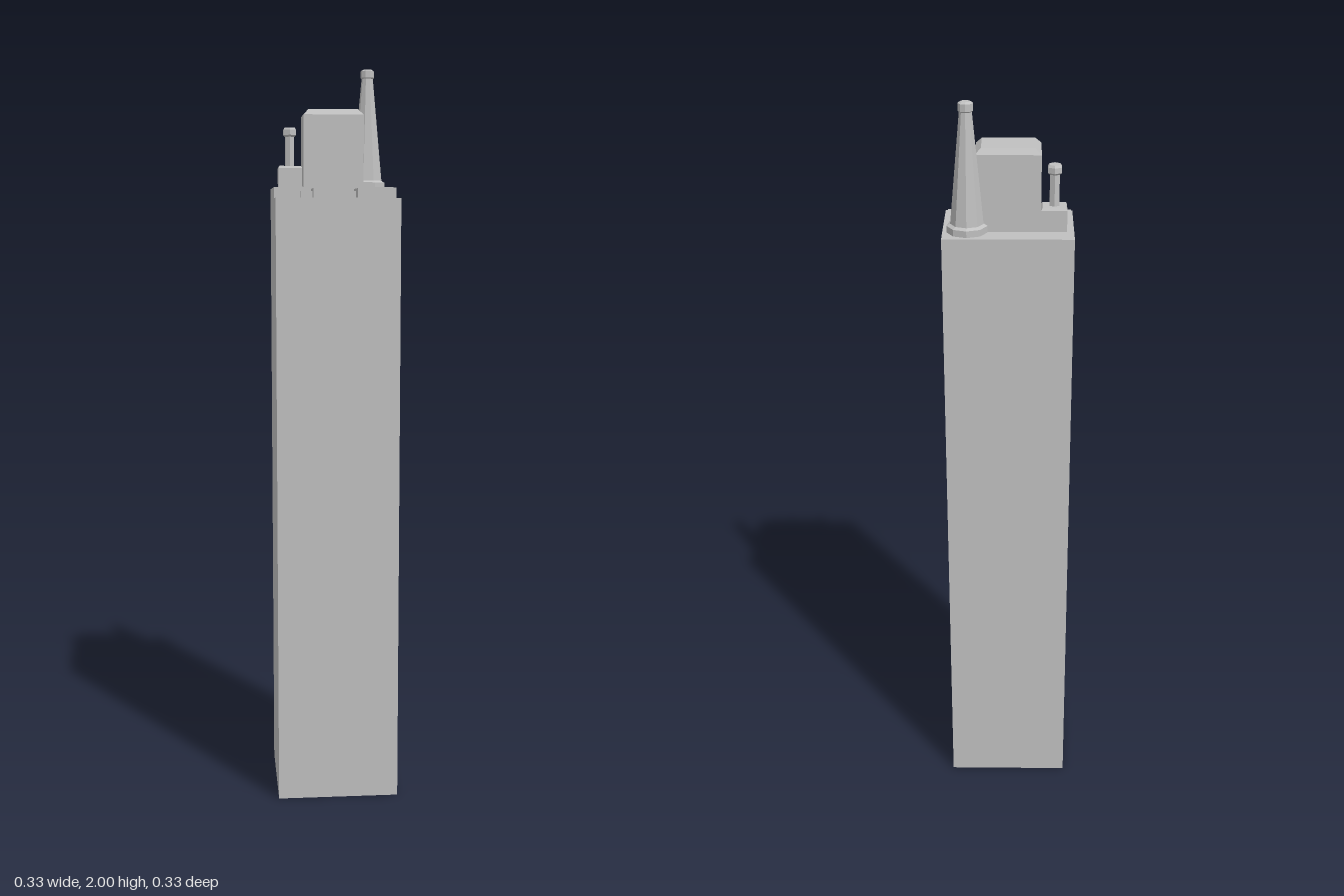
import * as THREE from 'three';

const grey = new THREE.MeshStandardMaterial({ color: 0xc0c0c0, flatShading: true });
grey.name = 'concrete grey';

const HALF = 0.165, ROOF = 1.675, TERRACE = 1.645;

export function createModel() {
  const model = new THREE.Group();
  model.name = 'tower';

  const add = (name, geometry, x = 0, y = 0, z = 0) => {
    const mesh = new THREE.Mesh(geometry, grey);
    mesh.name = name;
    mesh.position.set(x, y, z);
    model.add(mesh);
    return mesh;
  };

  // Box given by its limits
  const box = (name, x0, x1, y0, y1, z0, z1) =>
    add(name, new THREE.BoxGeometry(x1 - x0, y1 - y0, z1 - z0),
      (x0 + x1) / 2, (y0 + y1) / 2, (z0 + z1) / 2);

  // Box whose top face is drawn in to make sloping sides
  const taperedBox = (name, x0, x1, y0, y1, z0, z1, insetX, insetZ) => {
    const mesh = box(name, x0, x1, y0, y1, z0, z1);
    const p = mesh.geometry.attributes.position;
    for (let i = 0; i < p.count; i++) {
      if (p.getY(i) > 0) {
        p.setX(i, p.getX(i) - Math.sign(p.getX(i)) * insetX);
        p.setZ(i, p.getZ(i) - Math.sign(p.getZ(i)) * insetZ);
      }
    }
    return mesh;
  };

  // Faceted stack of rings: profile of [radius, height]
  const turned = (name, profile, sides, x, z, turn) => {
    const points = profile.map(([r, y]) => new THREE.Vector2(r, y));
    return add(name, new THREE.LatheGeometry(points, sides, turn), x, 0, z);
  };

  // Main shaft with a lower terrace along the front
  const side = new THREE.Shape([
    [-HALF, 0], [HALF, 0], [HALF, TERRACE], [0.065, TERRACE], [0.065, ROOF], [-HALF, ROOF],
  ].map(([z, y]) => new THREE.Vector2(z, y)));
  const shaft = new THREE.ExtrudeGeometry(side, { depth: 2 * HALF, bevelEnabled: false });
  shaft.translate(0, 0, -HALF);
  shaft.rotateY(-Math.PI / 2);
  add('shaft', shaft);

  // Terrace rails and crossbar
  for (const s of [-1, 1]) {
    box('terraceRail', s * 0.058 - 0.008, s * 0.058 + 0.008, TERRACE, 1.67, 0.065, HALF);
  }
  box('terraceCrossbar', -0.096, 0.096, TERRACE, 1.663, 0.094, 0.124);

  // Roof house with a bevelled top
  box('roofHouse', -0.082, 0.082, ROOF, 1.87, -0.108, 0.007);
  taperedBox('roofHouseCap', -0.082, 0.082, 1.87, 1.885, -0.108, 0.007, 0.015, 0.011);

  // Side annex with a hexagonal vent
  box('annex', -0.147, -0.082, ROOF, 1.73, -0.108, -0.051);
  taperedBox('annexCap', -0.147, -0.082, 1.73, 1.736, -0.108, -0.051, 0.003, 0.004);
  turned('vent', [[0.014, 1.73], [0.014, 1.815], [0.02, 1.82], [0.02, 1.834], [0.016, 1.84], [0, 1.84]],
    6, -0.115, -0.079, 0);

  // Tapering nine-sided chimney on a ring base
  turned('chimneyBase', [[0.052, ROOF], [0.052, 1.692], [0.043, 1.697], [0, 1.697]],
    9, 0.103, -0.104, Math.PI);
  turned('chimney', [[0.043, 1.69], [0.016, 1.975], [0.019, 1.978], [0.019, 1.996], [0.012, 2], [0, 2]],
    9, 0.103, -0.104, Math.PI);

  return model;
}
